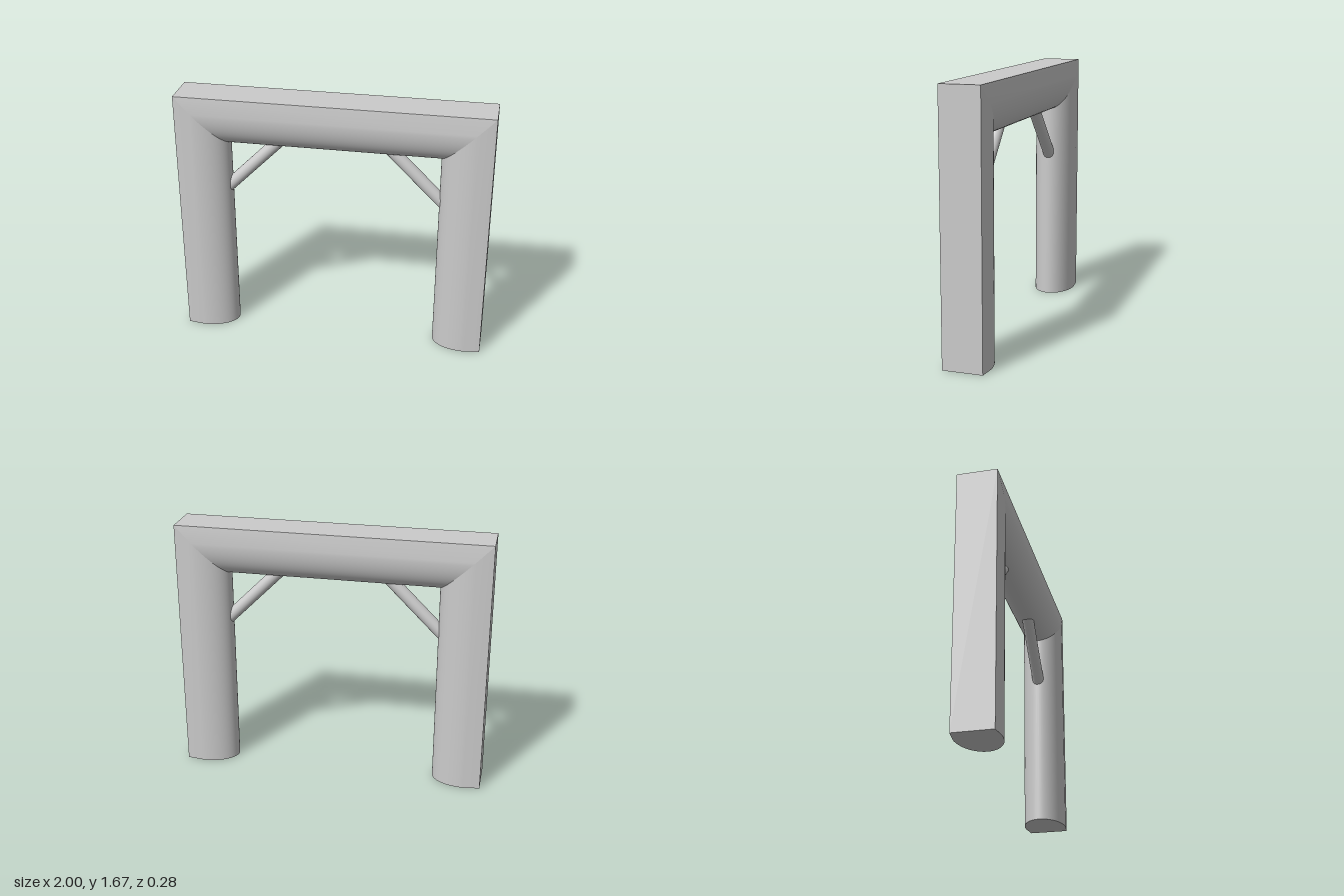
import * as THREE from 'three';
import { toCreasedNormals } from 'three/addons/utils/BufferGeometryUtils.js';

const HEIGHT = 1.67, DEPTH = 0.327, HALF_WIDTH = 0.14, FLAT_HALF = 0.127, SHOULDER = 0.11;

// Section as [distance in from the outer face, z]: flat outside, elliptical inside.
function sectionLoop() {
  const loop = [[0, -FLAT_HALF]];
  const steps = 32;
  for (let i = 0; i <= steps; i++) {
    const a = -Math.PI / 2 + (Math.PI * i) / steps;
    loop.push([SHOULDER + (DEPTH - SHOULDER) * Math.cos(a), HALF_WIDTH * Math.sin(a)]);
  }
  loop.push([0, FLAT_HALF]);
  return loop;
}

// Joins two matching section loops into a bar, with optional end caps.
function bar(name, start, end, capStart, capEnd, material) {
  const n = start.length;
  const index = [];
  for (let i = 0; i < n; i++) {
    const j = (i + 1) % n;
    index.push(i, j, n + j, i, n + j, n + i);
    if (i > 0 && i < n - 1) {
      if (capStart) index.push(0, i + 1, i);
      if (capEnd) index.push(n, n + i, n + i + 1);
    }
  }
  const geometry = new THREE.BufferGeometry();
  geometry.setAttribute('position', new THREE.Float32BufferAttribute([...start, ...end].flat(), 3));
  geometry.setIndex(index);
  const mesh = new THREE.Mesh(toCreasedNormals(geometry, 0.6), material);
  mesh.name = name;
  return mesh;
}

export function createModel() {
  const group = new THREE.Group();
  group.name = 'archFrame';
  const material = new THREE.MeshStandardMaterial({ color: 0xcccccc });

  // Sections at the feet and at the mitred corners
  const loop = sectionLoop();
  const foot = (side) => loop.map(([d, z]) => [side * (1 - d), 0, z]);
  const corner = (side) => loop.map(([d, z]) => [side * (1 - d), HEIGHT - d, z]);

  // Two posts and the lintel
  group.add(bar('leftPost', foot(1), corner(1), true, false, material));
  group.add(bar('lintel', corner(1), corner(-1), false, false, material));
  group.add(bar('rightPost', corner(-1), foot(-1), false, true, material));

  // Diagonal braces, with ends buried in the post and lintel
  for (const side of [1, -1]) {
    const low = new THREE.Vector3(side * 0.715, 1.01, 0);
    const high = new THREE.Vector3(side * 0.34, 1.385, 0);
    const brace = new THREE.Mesh(new THREE.CylinderGeometry(0.04, 0.04, low.distanceTo(high), 32), material);
    brace.name = side > 0 ? 'leftBrace' : 'rightBrace';
    brace.position.addVectors(low, high).multiplyScalar(0.5);
    brace.rotation.z = side * Math.PI / 4;
    group.add(brace);
  }
  return group;
}
